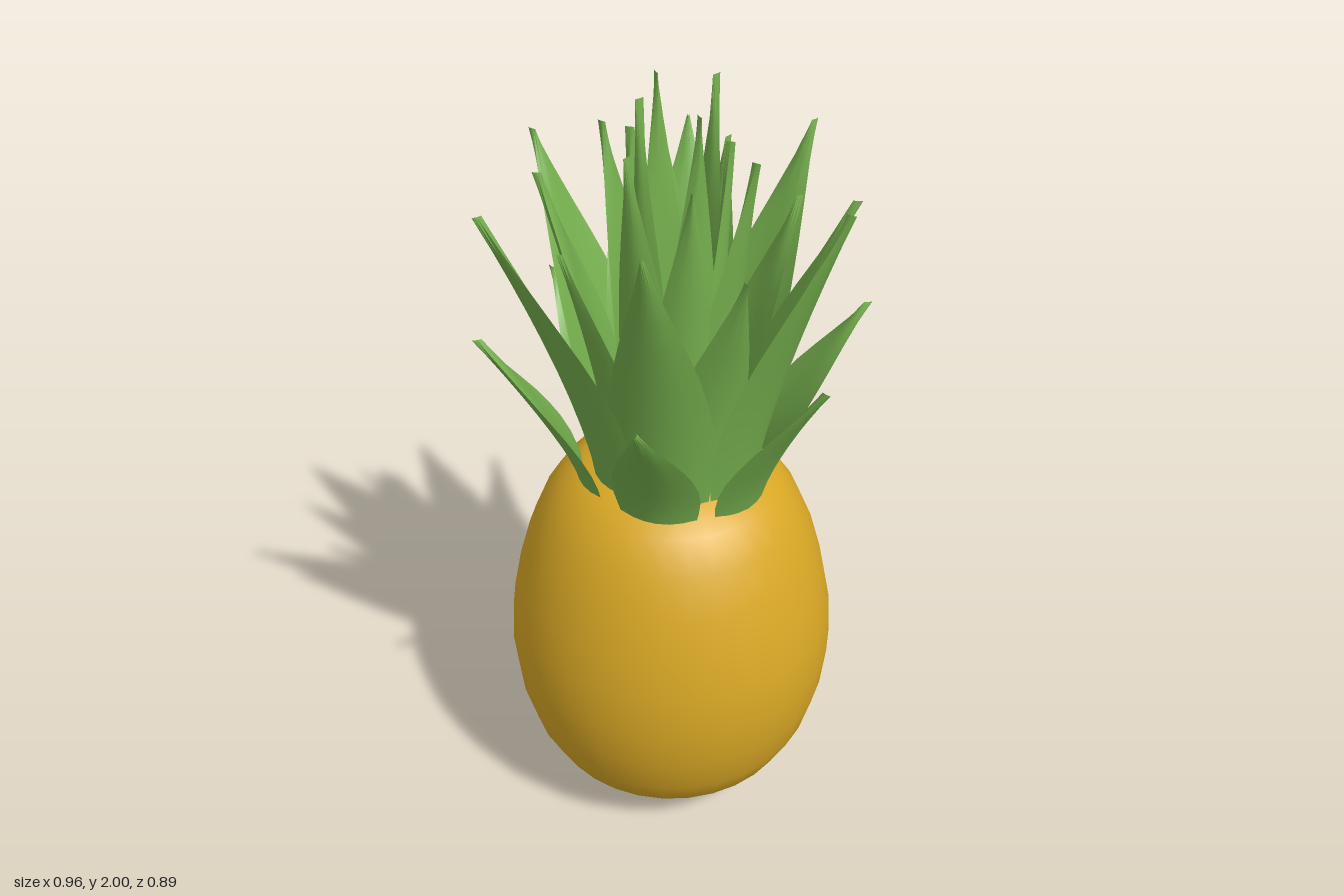
import * as THREE from 'three';
import { toCreasedNormals } from 'three/addons/utils/BufferGeometryUtils.js';

const gold = new THREE.MeshStandardMaterial({ color: 0xd9a825 });
gold.name = 'golden skin';
const green = new THREE.MeshStandardMaterial({ color: 0x76b04e });
green.name = 'leaf green';

const CROWN = { x: 0.015, z: -0.005 };
const WIDTHS = [0.84, 0.94, 1, 0.99, 0.91, 0.78, 0.6, 0.4, 0.2, 0.02];
const ACROSS = 6;

// Cupped, tapering leaf with a lens-shaped section, leaning out to its tip
function leafGeometry([tipX, tipY, tipZ], ring) {
  const dx = tipX - CROWN.x, dz = tipZ - CROWN.z;
  const angle = Math.atan2(dx, dz), tipR = Math.hypot(dx, dz);
  const s = Math.sin(angle), c = Math.cos(angle);
  const positions = [], index = [];
  const count = ACROSS * 2;
  WIDTHS.forEach((k, i) => {
    const t = i / (WIDTHS.length - 1);
    const w = ring.width * k;
    const r = ring.baseR + (tipR - ring.baseR) * Math.pow(t, ring.bend);
    const y = ring.baseY + (tipY - ring.baseY) * t;
    for (let j = 0; j < count; j++) {
      const outside = j <= ACROSS;
      const u = outside ? -1 + (2 * j) / ACROSS : 1 - (2 * (j - ACROSS)) / ACROSS;
      const half = 0.011 * (1 - u * u) * (outside ? 1 : -1);
      const radial = r + half - (w * w * u * u) / (2 * ring.baseR);
      positions.push(CROWN.x + s * radial + c * w * u, y, CROWN.z + c * radial - s * w * u);
    }
  });
  for (let i = 0; i < WIDTHS.length - 1; i++) {
    for (let j = 0; j < count; j++) {
      const a = i * count + j, b = i * count + ((j + 1) % count);
      index.push(a, b, b + count, a, b + count, a + count);
    }
  }
  const g = new THREE.BufferGeometry();
  g.setAttribute('position', new THREE.Float32BufferAttribute(positions, 3));
  g.setIndex(index);
  return toCreasedNormals(g, 0.7);
}

// Rings of leaves from the outside in; each tip is x, y, z
const RINGS = [
  { name: 'lowLeaf', baseR: 0.235, baseY: 0.99, width: 0.105, bend: 1.3, tips: [
    [-0.45, 1.46, -0.11], [-0.29, 1.41, 0.345], [0.135, 1.43, 0.44],
    [0.47, 1.42, 0.14], [0.335, 1.42, -0.3], [-0.105, 1.41, -0.43]] },
  { name: 'tallLeaf', baseR: 0.2, baseY: 1.0, width: 0.125, bend: 1.35, tips: [
    [-0.47, 1.82, 0.005], [-0.25, 1.8, 0.31], [0.205, 1.82, 0.39],
    [0.46, 1.8, -0.11], [0.25, 1.77, -0.35], [-0.15, 1.8, -0.4]] },
  { name: 'middleLeaf', baseR: 0.16, baseY: 1.03, width: 0.105, bend: 1.5, tips: [
    [-0.27, 1.67, -0.02], [-0.01, 1.69, 0.33], [0.335, 1.76, 0.24],
    [0.33, 1.69, 0.03], [0.03, 1.68, -0.345], [-0.24, 1.79, -0.19]] },
  { name: 'innerLeaf', baseR: 0.13, baseY: 1.05, width: 0.09, bend: 1.8, tips: [
    [-0.145, 1.9, 0.06], [-0.05, 1.84, 0.17], [0.1, 1.88, 0.185],
    [0.19, 1.83, -0.07], [0.08, 1.86, -0.19], [-0.065, 1.87, -0.205]] },
  { name: 'heartLeaf', baseR: 0.1, baseY: 1.08, width: 0.068, bend: 2, tips: [
    [-0.085, 2, 0.01], [0, 1.98, 0.115], [0.1, 1.89, 0.08],
    [0.13, 2, -0.03], [0.035, 1.99, -0.13], [-0.06, 1.9, -0.08]] },
];

export function createModel() {
  const model = new THREE.Group();
  model.name = 'pineapple';

  // Egg-shaped fruit
  const profile = [
    [0, 0], [0.1, 0.008], [0.2, 0.033], [0.28, 0.078], [0.345, 0.145], [0.39, 0.235],
    [0.42, 0.35], [0.432, 0.47], [0.425, 0.59], [0.403, 0.7], [0.372, 0.81],
    [0.33, 0.91], [0.28, 0.985], [0.22, 1.03], [0.12, 1.06], [0, 1.07],
  ].map(([r, y]) => new THREE.Vector2(r, y));
  const fruit = new THREE.Mesh(new THREE.LatheGeometry(profile, 32), gold);
  fruit.name = 'fruit';
  fruit.position.set(0.003, 0, -0.01);
  model.add(fruit);

  // Short stem at the heart of the crown
  const stem = new THREE.Mesh(new THREE.CylinderGeometry(0.085, 0.1, 0.25, 24), green);
  stem.name = 'stem';
  stem.position.set(CROWN.x, 1.125, CROWN.z);
  model.add(stem);

  // Crown of leaves
  const crown = new THREE.Group();
  crown.name = 'crown';
  for (const ring of RINGS) {
    for (const tip of ring.tips) {
      const leaf = new THREE.Mesh(leafGeometry(tip, ring), green);
      leaf.name = ring.name;
      crown.add(leaf);
    }
  }
  model.add(crown);
  return model;
}
